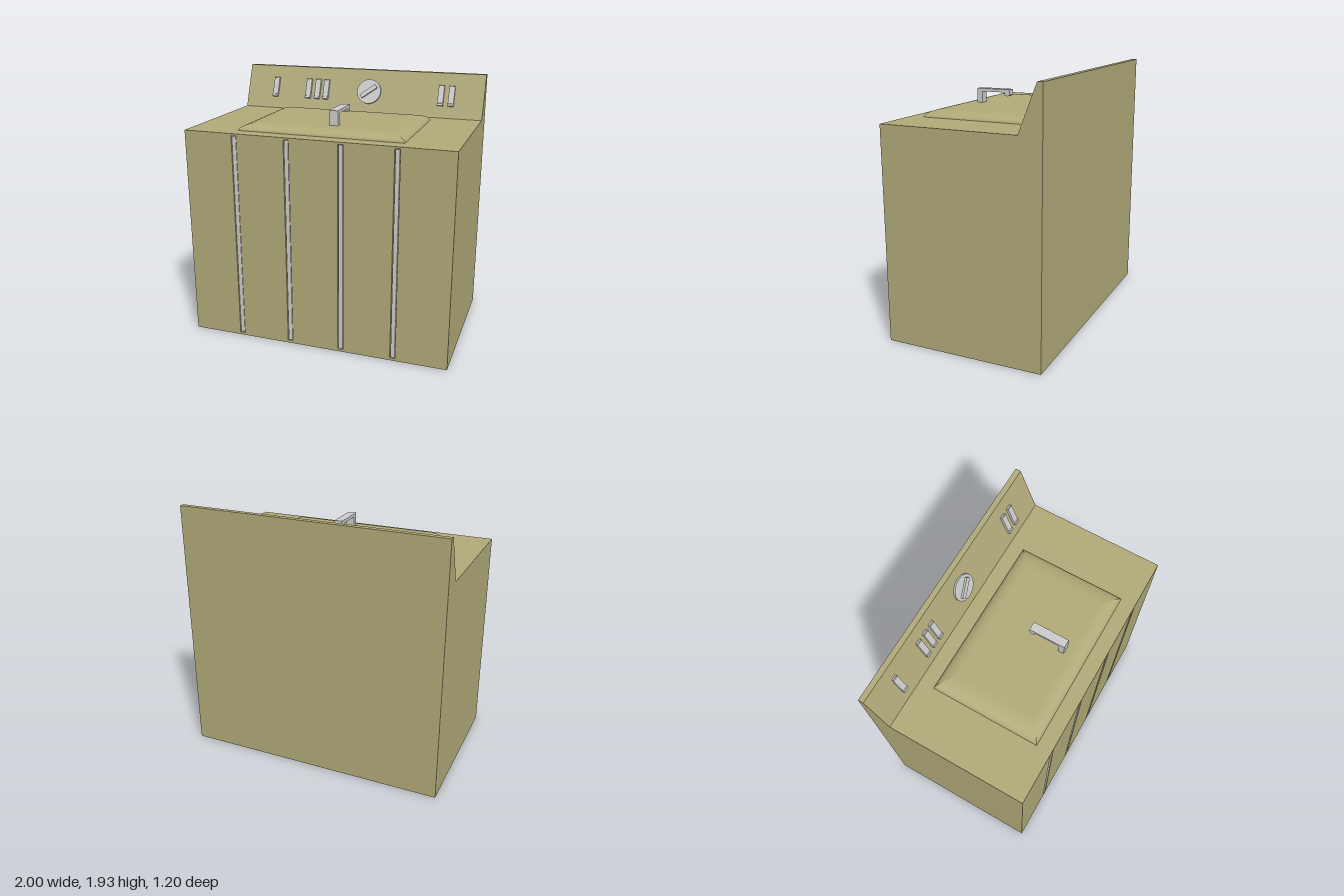
import * as THREE from 'three';

const olive = new THREE.MeshStandardMaterial({ color: 0xb0a978 });
const grey = new THREE.MeshStandardMaterial({ color: 0xcccccc });

function add(parent, name, geometry, material, x = 0, y = 0, z = 0) {
  const mesh = new THREE.Mesh(geometry, material);
  mesh.name = name;
  mesh.position.set(x, y, z);
  parent.add(mesh);
  return mesh;
}

// Extrudes a [z, y] side profile across x, centred on x = 0
function sideExtrude(points, width) {
  const shape = new THREE.Shape(points.map(([z, y]) => new THREE.Vector2(z, y)));
  return new THREE.ExtrudeGeometry(shape, { depth: width, bevelEnabled: false })
    .translate(0, 0, -width / 2)
    .rotateY(-Math.PI / 2);
}

// Rectangular lid whose four edges roll over in a quarter ellipse
function lidGeometry(halfX, halfZ, height, insetX, insetZ, steps = 10) {
  const corners = [[-1, 1], [1, 1], [1, -1], [-1, -1]];
  const positions = [], index = [];
  const point = ([sx, sz], t) => positions.push(
    sx * (halfX - insetX * (1 - Math.cos(t))),
    height * Math.sin(t),
    sz * (halfZ - insetZ * (1 - Math.cos(t))));
  corners.forEach((corner, side) => {
    const start = positions.length / 3;
    for (let i = 0; i <= steps; i++) {
      const t = (i / steps) * Math.PI / 2;
      point(corner, t);
      point(corners[(side + 1) % 4], t);
      if (i < steps) {
        const a = start + i * 2;
        index.push(a, a + 1, a + 3, a, a + 3, a + 2);
      }
    }
  });
  const top = positions.length / 3;
  corners.forEach((corner) => point(corner, Math.PI / 2));
  index.push(top, top + 1, top + 2, top, top + 2, top + 3);
  const geometry = new THREE.BufferGeometry();
  geometry.setAttribute('position', new THREE.Float32BufferAttribute(positions, 3));
  geometry.setIndex(index);
  geometry.computeVertexNormals();
  return geometry;
}

export function createModel() {
  const model = new THREE.Group();
  model.name = 'washingMachine';

  // Cabinet with the sloped control panel at the back
  const frontDepth = 0.015;
  add(model, 'cabinet', sideExtrude([
    [0.6 - frontDepth, 0], [0.6 - frontDepth, 1.6], [-0.43, 1.6],
    [-0.56, 1.935], [-0.6, 1.935], [-0.6, 0],
  ], 2), olive);

  // Front panel with four upright grooves, each holding a trim strip
  const panel = new THREE.Shape([
    new THREE.Vector2(-1, 0), new THREE.Vector2(1, 0),
    new THREE.Vector2(1, 1.6), new THREE.Vector2(-1, 1.6),
  ]);
  for (const x of [-0.605, -0.203, 0.198, 0.598]) {
    const groove = new THREE.Path();
    groove.moveTo(x - 0.02, 0.02).lineTo(x - 0.02, 1.585)
      .lineTo(x + 0.02, 1.585).lineTo(x + 0.02, 0.02).closePath();
    panel.holes.push(groove);
    add(model, 'trimStrip', new THREE.BoxGeometry(0.03, 1.555, 0.012), grey, x, 0.8025, 0.59);
  }
  add(model, 'frontPanel',
    new THREE.ExtrudeGeometry(panel, { depth: frontDepth, bevelEnabled: false }),
    olive, 0, 0, 0.6 - frontDepth);

  // Lid and its hooked handle
  add(model, 'lid', lidGeometry(0.62, 0.405, 0.052, 0.145, 0.105), olive, 0, 1.6, 0.085);
  add(model, 'lidHandle', sideExtrude([
    [0.338, 1.645], [0.338, 1.76], [0.066, 1.76], [0.066, 1.72], [0.075, 1.71],
    [0.1, 1.71], [0.108, 1.718], [0.108, 1.737], [0.295, 1.737], [0.295, 1.645],
  ], 0.064), grey, 0.059);

  // Controls lie in a frame whose xy plane is the sloped panel
  const controls = new THREE.Group();
  controls.name = 'controls';
  const tilt = Math.atan2(0.13, 0.335);
  const height = 1.765;
  controls.position.set(0, height, -0.43 - (height - 1.6) * Math.tan(tilt));
  controls.rotation.x = -tilt;
  model.add(controls);

  // Push buttons with a thicker lower lip
  for (const x of [-0.742, -0.45, -0.37, -0.296, 0.664, 0.748]) {
    add(controls, 'button', sideExtrude([
      [-0.005, -0.083], [0.026, -0.083], [0.026, -0.066], [0.019, -0.062],
      [0.019, 0.076], [0.015, 0.08], [-0.005, 0.08],
    ], 0.045), grey, x);
  }

  // Round dial with a slanted grip bar
  add(controls, 'dial', new THREE.CylinderGeometry(0.099, 0.099, 0.017, 40).rotateX(Math.PI / 2),
    grey, 0.073, 0, 0.0065);
  const grip = add(controls, 'dialGrip', new THREE.BoxGeometry(0.15, 0.034, 0.02), grey, 0.073, 0, 0.022);
  grip.rotation.z = 0.65;

  return model;
}
